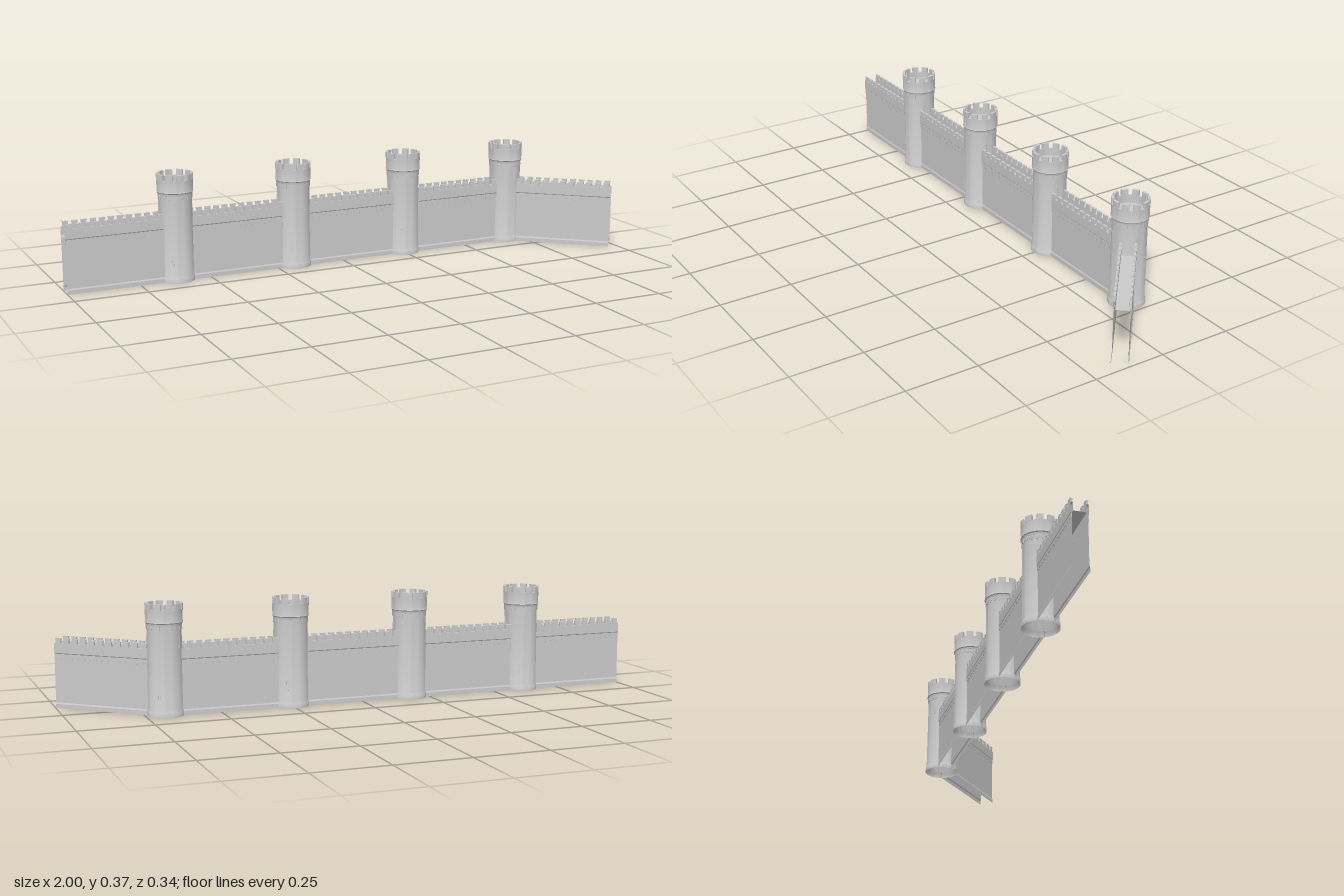
import * as THREE from 'three';
import { mergeGeometries, toCreasedNormals } from 'three/addons/utils/BufferGeometryUtils.js';

const stone = new THREE.MeshStandardMaterial({ color: 0xcccccc, side: THREE.DoubleSide });
const TOWER_Z = -0.109, SHAFT_R = 0.0565;
const TOWER_X = [-0.614, -0.182, 0.25, 0.682];

function addMesh(parent, name, geometry) {
  const mesh = new THREE.Mesh(geometry, stone);
  mesh.name = name;
  parent.add(mesh);
  return mesh;
}

// One bay of a blind arcade: a thin plate with a round notch in its lower edge
function archBay(width, height, depth) {
  const r = width * 0.36, w = width / 2;
  const s = new THREE.Shape();
  s.moveTo(-w, 0);
  s.lineTo(-r, 0);
  s.absarc(0, 0, r, Math.PI, 0, true);
  s.lineTo(w, 0);
  s.lineTo(w, height);
  s.lineTo(-w, height);
  s.closePath();
  return new THREE.ExtrudeGeometry(s, { depth, bevelEnabled: false, curveSegments: 8 });
}

// Sweeps an open (z, y) cross-section straight along x
function sweep(profile, length) {
  const pos = [];
  for (let i = 0; i < profile.length - 1; i++) {
    const [z0, y0] = profile[i], [z1, y1] = profile[i + 1];
    pos.push(0, y0, z0, length, y0, z0, length, y1, z1);
    pos.push(0, y0, z0, length, y1, z1, 0, y1, z1);
  }
  const g = new THREE.BufferGeometry();
  g.setAttribute('position', new THREE.Float32BufferAttribute(pos, 3));
  g.computeVertexNormals();
  return g;
}

function makeWall(x0, z0, x1, z1) {
  const wall = new THREE.Group();
  wall.name = 'curtainWall';
  const L = Math.hypot(x1 - x0, z1 - z0);
  wall.position.set(x0, 0, z0);
  wall.rotation.y = -Math.atan2(z1 - z0, x1 - x0);

  // Hollow shell: plinth, face, projecting parapet and sunken walkway
  const half = [
    [0.027, 0], [0.027, 0.014], [0.0248, 0.019], [0.0248, 0.183],
    [0.0275, 0.187], [0.0275, 0.22], [0.0205, 0.22], [0.0205, 0.192],
  ];
  const other = half.map(([z, y]) => [-z, y]).reverse();
  addMesh(wall, 'wallShell', sweep([...half, ...other], L));

  // Capped merlons along both parapets
  const n = Math.round(L / 0.032), step = L / n;
  const merlons = [];
  for (const side of [1, -1]) {
    for (let i = 0; i < n; i++) {
      const x = (i + 0.5) * step, z = side * 0.024;
      merlons.push(new THREE.BoxGeometry(step * 0.58, 0.013, 0.007).translate(x, 0.2265, z));
      merlons.push(new THREE.BoxGeometry(step * 0.66, 0.004, 0.008).translate(x, 0.235, z));
    }
  }
  addMesh(wall, 'wallMerlons', mergeGeometries(merlons));

  // Arcade under the parapet on both faces
  const m = Math.round(L / 0.022), bay = L / m;
  const arches = [];
  for (const turn of [0, Math.PI]) {
    for (let i = 0; i < m; i++) {
      const g = archBay(bay, 0.019, 0.002).translate((i + 0.5) * bay - L / 2, 0.165, 0.0246);
      arches.push(g.rotateY(turn).translate(L / 2, 0, 0));
    }
  }
  addMesh(wall, 'wallArcade', mergeGeometries(arches));
  return wall;
}

function makeTower(x, slits) {
  const tower = new THREE.Group();
  tower.name = 'tower';
  tower.position.set(x, 0, TOWER_Z);

  // Round body, open below, with plinth, crown and sunken roof
  const profile = [
    [0.0605, 0], [0.0605, 0.014], [0.0585, 0.02], [SHAFT_R + 0.001, 0.022], [SHAFT_R, 0.298],
    [0.0585, 0.3], [0.0595, 0.306], [0.062, 0.309], [0.0605, 0.313], [0.0615, 0.351],
    [0.053, 0.351], [0.053, 0.325], [0, 0.325],
  ].map(([r, y]) => new THREE.Vector2(r, y));
  addMesh(tower, 'towerBody', toCreasedNormals(new THREE.LatheGeometry(profile, 40), 0.5));

  // Curved merlons around the crown
  const count = 10, arc = (Math.PI * 2 / count) * 0.32;
  const merlons = [];
  for (let i = 0; i < count; i++) {
    const s = new THREE.Shape();
    s.absarc(0, 0, 0.0618, -arc, arc, false);
    s.absarc(0, 0, 0.053, arc, -arc, true);
    const g = new THREE.ExtrudeGeometry(s, { depth: 0.02, bevelEnabled: false, curveSegments: 4 });
    merlons.push(g.rotateX(-Math.PI / 2).translate(0, 0.35, 0).rotateY((i + 0.5) / count * Math.PI * 2));
  }
  addMesh(tower, 'towerMerlons', mergeGeometries(merlons));

  // Ring of arches under the crown
  const bays = 20, width = 2 * SHAFT_R * Math.tan(Math.PI / bays);
  const arches = [];
  for (let i = 0; i < bays; i++) {
    const g = archBay(width, 0.016, 0.0018).translate(0, 0.284, SHAFT_R - 0.0002);
    arches.push(g.rotateY(i / bays * Math.PI * 2));
  }
  addMesh(tower, 'towerArcade', mergeGeometries(arches));

  // Narrow arrow slits with a thin raised frame, angle in degrees from the front
  const frames = slits.map(([deg, y]) => {
    const s = new THREE.Shape();
    s.moveTo(-0.004, -0.0175).lineTo(0.004, -0.0175).lineTo(0.004, 0.0175).lineTo(-0.004, 0.0175);
    const hole = new THREE.Path();
    hole.moveTo(-0.0025, -0.016).lineTo(-0.0025, 0.016).lineTo(0.0025, 0.016).lineTo(0.0025, -0.016);
    s.holes.push(hole);
    return new THREE.ExtrudeGeometry(s, { depth: 0.003, bevelEnabled: false })
      .translate(0, y, SHAFT_R - 0.0015).rotateY(deg * Math.PI / 180);
  });
  addMesh(tower, 'arrowSlits', mergeGeometries(frames));
  return tower;
}

export function createModel() {
  const model = new THREE.Group();
  model.name = 'castleWall';

  // Slits climb each tower in a spiral, repeated on the opposite side
  const spiral = [[78, 0.243], [112, 0.16], [150, 0.078], [258, 0.243], [292, 0.16], [330, 0.078]];
  const cornerSlits = [[78, 0.243], [112, 0.16], [147, 0.078], [-11, 0.245], [-11, 0.08], [258, 0.16], [220, 0.243]];
  TOWER_X.forEach((x, i) => model.add(makeTower(x, i === 3 ? cornerSlits : spiral)));

  // Straight run of walls, ending just inside the towers
  const inset = 0.046;
  TOWER_X.forEach((x, i) => {
    const start = i === 0 ? -1 : TOWER_X[i - 1] + inset;
    model.add(makeWall(start, TOWER_Z, x - inset, TOWER_Z));
  });

  // Angled wall turning forward from the last tower
  const end = [0.9815, 0.15], x = TOWER_X[3];
  const a = Math.atan2(end[1] - TOWER_Z, end[0] - x);
  model.add(makeWall(x + inset * Math.cos(a), TOWER_Z + inset * Math.sin(a), ...end));
  return model;
}
